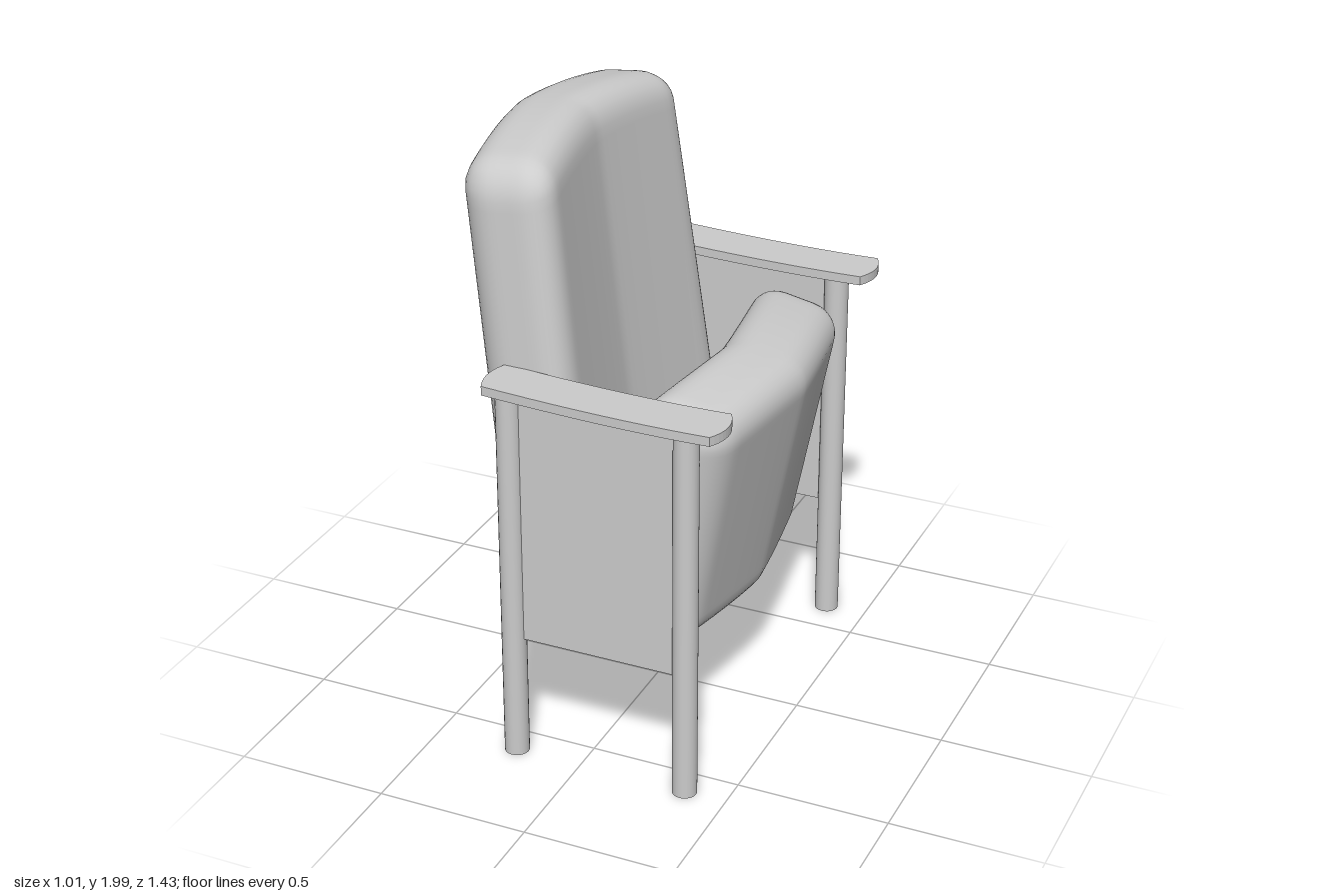
import * as THREE from 'three';
import { mergeVertices } from 'three/addons/utils/BufferGeometryUtils.js';

const material = new THREE.MeshStandardMaterial({ color: 0xcccccc });

function part(name, geometry, x = 0, y = 0, z = 0) {
  const mesh = new THREE.Mesh(geometry, material);
  mesh.name = name;
  mesh.position.set(x, y, z);
  return mesh;
}

// Padded cushion: a rounded box, tapered in width, arched at top and bottom, bent across its width
function cushionGeometry({ thick, height, width, radius, taper, archTop, archBottom, bend }) {
  const half = new THREE.Vector3(thick / 2, height / 2, width / 2);
  const inner = half.clone().subScalar(radius);
  const box = new THREE.BoxGeometry(thick, height, width, 12, 40, 40);
  box.deleteAttribute('normal');
  box.deleteAttribute('uv');
  const geometry = mergeVertices(box);
  const pos = geometry.attributes.position;
  const p = new THREE.Vector3();
  const core = new THREE.Vector3();
  for (let i = 0; i < pos.count; i++) {
    p.fromBufferAttribute(pos, i);
    core.copy(p).clamp(inner.clone().negate(), inner);
    p.sub(core).setLength(radius).add(core);
    const t = p.y / half.y;
    p.z *= 1 + taper * t;
    p.x += bend * Math.pow(Math.abs(p.z), 1.2);
    p.y -= p.z * p.z * t * (t > 0 ? archTop : archBottom);
    pos.setXYZ(i, p.x, p.y, p.z);
  }
  geometry.computeVertexNormals();
  return geometry;
}

// Armrest board: a gently curved outline with bowed ends, lying flat
function armrestGeometry() {
  const shape = new THREE.Shape();
  shape.moveTo(-0.27, 0.08);
  shape.quadraticCurveTo(0.17, 0.034, 0.48, 0.054);
  shape.quadraticCurveTo(0.53, -0.03, 0.48, -0.11);
  shape.quadraticCurveTo(0.17, -0.128, -0.27, -0.085);
  shape.quadraticCurveTo(-0.31, 0, -0.27, 0.08);
  const geometry = new THREE.ExtrudeGeometry(shape, { depth: 0.03, bevelEnabled: false, curveSegments: 10 });
  return geometry.rotateX(-Math.PI / 2);
}

export function createModel() {
  const model = new THREE.Group();
  model.name = 'foldingSeatChair';

  // Reclined backrest
  const back = part('backrest', cushionGeometry({
    thick: 0.305, height: 1.385, width: 1.07, radius: 0.105,
    taper: -0.07, archTop: 0.26, archBottom: 0.1, bend: 0.16,
  }), -0.288, 1.3, -0.007);
  back.rotation.z = 0.116;
  model.add(back);

  // Seat, folded up
  const seat = part('seat', cushionGeometry({
    thick: 0.3, height: 0.88, width: 0.98, radius: 0.1,
    taper: 0.055, archTop: 0.15, archBottom: 0.08, bend: -0.16,
  }), 0.283, 0.838, -0.007);
  seat.rotation.z = -0.19;
  model.add(seat);

  // Side frames: two legs, a panel and an armrest each
  const leg = new THREE.CylinderGeometry(0.04, 0.04, 1.295, 24);
  const panel = new THREE.BoxGeometry(0.585, 0.875, 0.02);
  const armrest = armrestGeometry();
  for (const [name, z] of [['leftSide', 0.6], ['rightSide', -0.635]]) {
    const side = new THREE.Group();
    side.name = name;
    side.position.z = z;
    side.add(
      part('backLeg', leg, -0.225, 0.6475),
      part('frontLeg', leg, 0.36, 0.6475),
      part('sidePanel', panel, 0.0675, 0.8625),
      part('armrest', armrest, 0, 1.295),
    );
    model.add(side);
  }

  // Pivot bar under the seat, joining the sides
  const bar = new THREE.CylinderGeometry(0.02, 0.02, 1.235, 16).rotateX(Math.PI / 2);
  model.add(part('pivotBar', bar, 0.18, 0.51, -0.0175));

  return model;
}
